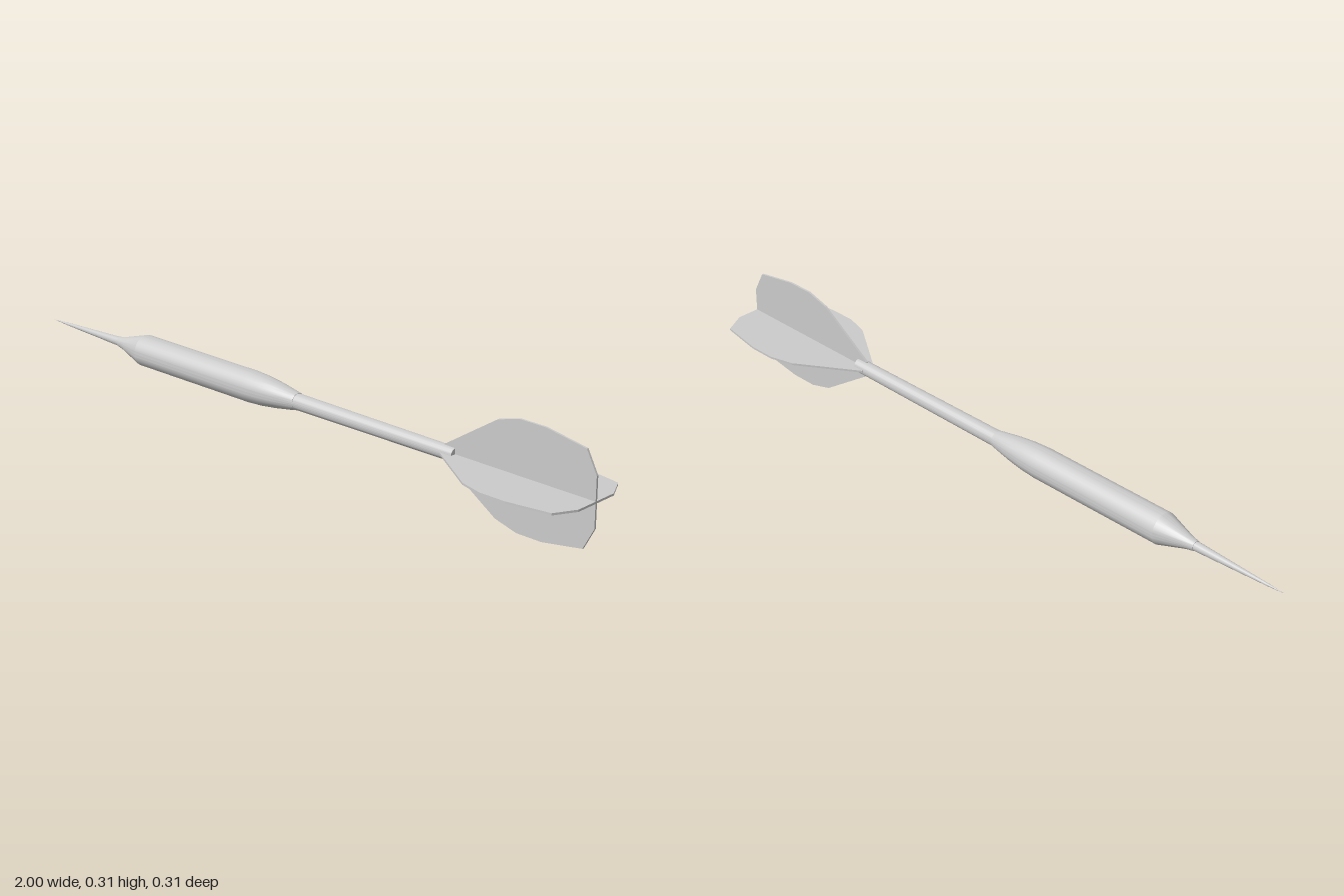
import * as THREE from 'three';
import { toCreasedNormals } from 'three/addons/utils/BufferGeometryUtils.js';

const material = new THREE.MeshStandardMaterial({ color: 0xcccccc });

// Turned part along x, from [x, radius] pairs listed tip to tail
function turned(name, profile) {
  const points = profile.map(([x, r]) => new THREE.Vector2(r, x));
  const geometry = new THREE.LatheGeometry(points, 32).rotateZ(-Math.PI / 2);
  const mesh = new THREE.Mesh(toCreasedNormals(geometry, 0.25), material);
  mesh.name = name;
  return mesh;
}

export function createModel() {
  const dart = new THREE.Group();
  dart.name = 'dart';

  // Steel point, weighted barrel and slim shaft
  dart.add(turned('point', [[-1, 0], [-0.94, 0.004], [-0.69, 0.014], [-0.69, 0]]));
  dart.add(turned('barrel', [
    [-0.71, 0], [-0.71, 0.014], [-0.685, 0.019], [-0.6, 0.045], [-0.17, 0.045],
    [-0.12, 0.042], [-0.07, 0.036], [-0.01, 0.026], [0, 0.024], [0, 0],
  ]));
  dart.add(turned('shaft', [[-0.01, 0], [-0.01, 0.023], [0.555, 0.02], [0.555, 0]]));

  // Four flights around the axis
  const outline = new THREE.Shape([
    [0.52, 0], [0.52, 0.022], [0.69, 0.134], [0.76, 0.153], [0.84, 0.153],
    [0.967, 0.132], [1, 0.07], [1, 0],
  ].map(([x, y]) => new THREE.Vector2(x, y)));
  const thickness = 0.006;
  const flightGeometry = new THREE.ExtrudeGeometry(outline, { depth: thickness, bevelEnabled: false });
  flightGeometry.translate(0, 0, -thickness / 2);
  for (let i = 0; i < 4; i++) {
    const flight = new THREE.Mesh(flightGeometry, material);
    flight.name = `flight${i + 1}`;
    flight.rotation.x = i * Math.PI / 2;
    dart.add(flight);
  }

  dart.position.y = 0.153;
  const model = new THREE.Group();
  model.add(dart);
  return model;
}
